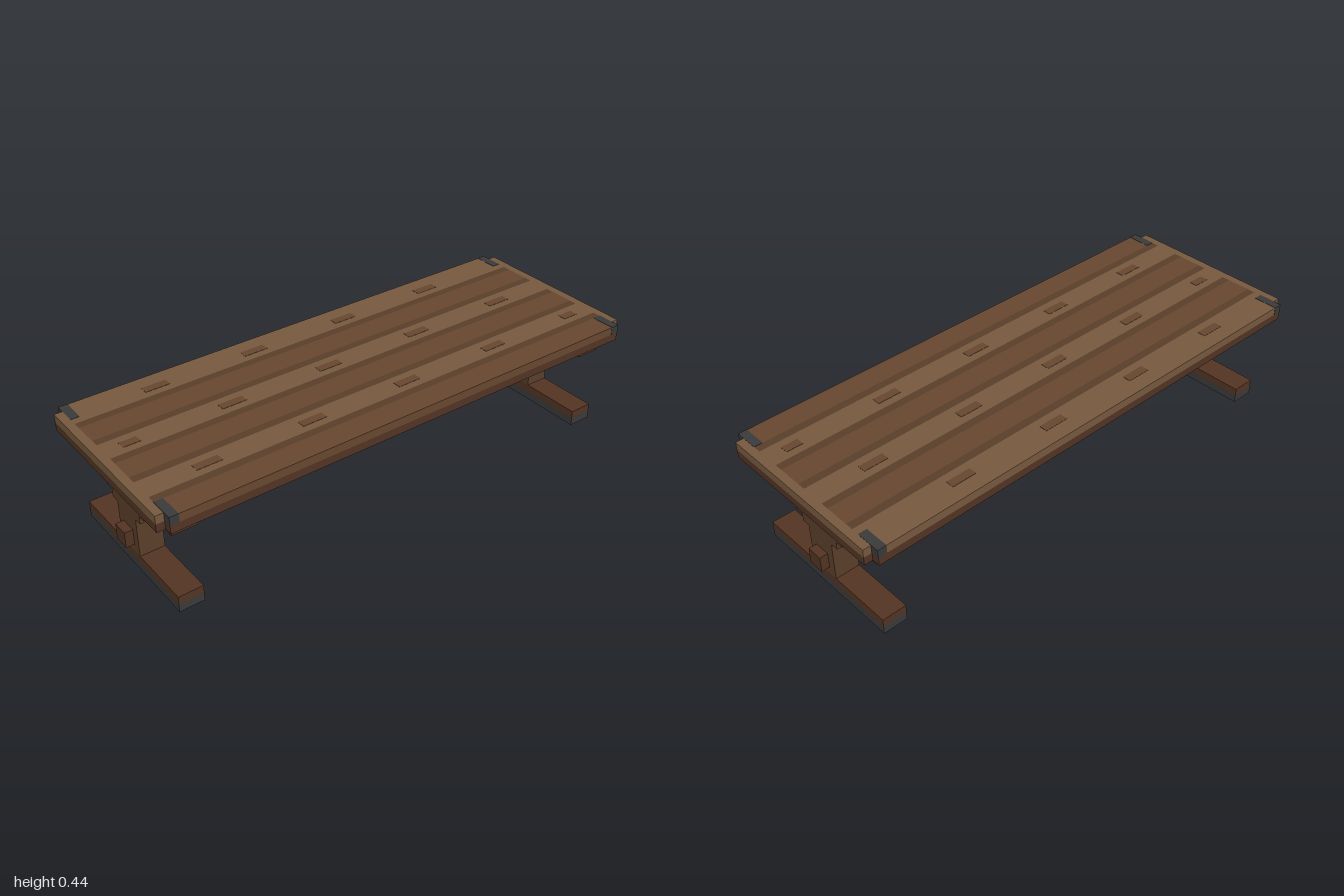
import * as THREE from 'three';

const U = 1 / 32; // block unit: every size below is counted in these

const mat = (color) => new THREE.MeshStandardMaterial({ color });
const M = {
  light: mat(0x785b40),
  mid: mat(0x694830),
  gap: mat(0x593f2b),
  dark: mat(0x543524),
  post: mat(0x5c402a),
  metal: mat(0x3b3b3b),
};

// Box between two corners, in block units; grow lifts inlays just off the wood
function box(parent, name, material, x0, x1, y0, y1, z0, z1, grow = 0) {
  const g = grow * 2;
  const mesh = new THREE.Mesh(
    new THREE.BoxGeometry((x1 - x0) * U + g, (y1 - y0) * U + g, (z1 - z0) * U + g), material);
  mesh.position.set((x0 + x1) / 2 * U, (y0 + y1) / 2 * U, (z0 + z1) / 2 * U);
  mesh.name = name;
  parent.add(mesh);
  return mesh;
}

function createTabletop() {
  const top = new THREE.Group();
  top.name = 'tabletop';

  // under layer with notched corners
  box(top, 'underLayer', M.dark, -31, 31, 12, 13, -12, 12);

  // planks and the dark gaps between them, from back to front
  const strips = [
    [-12, -8, 'light'], [-8, -7, 'gap'], [-7, -4, 'mid'], [-4, -3, 'gap'], [-3, 0, 'light'],
    [0, 1, 'gap'], [1, 4, 'mid'], [4, 5, 'gap'], [5, 8, 'light'], [8, 9, 'gap'], [9, 12, 'mid'],
  ];
  for (const [z0, z1, tone] of strips) {
    box(top, tone === 'gap' ? 'plankGap' : 'plank', M[tone], -31, 31, 13, 14, z0, z1);
  }

  // end boards and metal corner clasps
  for (const s of [-1, 1]) {
    const [x0, x1] = s > 0 ? [31, 32] : [-32, -31];
    box(top, 'endBoard', M.light, x0, x1, 13, 14, -11, 11);
    box(top, 'endBoardUnder', M.dark, x0, x1, 12, 13, -11, 11);
    const [c0, c1] = s > 0 ? [30, 31] : [-31, -30];
    for (const [z0, z1] of [[-12, -9], [9, 12]]) {
      box(top, 'cornerClasp', M.metal, c0, c1, 13, 14, z0, z1, 0.001);
    }
  }

  // rows of wood-grain marks: z, then the start and end of each mark
  const marks = [
    [-10, [[-22, -19], [-9, -6], [4, 7], [17, 20]]],
    [-2, [[-29, -27], [-17, -14], [-4, -1], [9, 12], [22, 25]]],
    [6, [[-25, -22], [-12, -9], [1, 4], [14, 17], [27, 29]]],
  ];
  for (const [z, spans] of marks) {
    for (const [x0, x1] of spans) box(top, 'grainMark', M.mid, x0, x1, 13.5, 14, z, z + 1, 0.001);
  }
  return top;
}

// Stepped trestle standing on a metal-shod foot
function createTrestle(x0, x1) {
  const trestle = new THREE.Group();
  trestle.name = 'trestle';
  const layers = [ // name, material, bottom, top, half depth
    ['footShoe', M.metal, 0, 1, 10],
    ['foot', M.dark, 1, 2, 10],
    ['post', M.post, 2, 7, 2],
    ['bracketStep', M.post, 7, 8, 3],
    ['bracketStep', M.post, 8, 9, 4],
    ['bracketStep', M.post, 9, 10, 5],
    ['crossBeam', M.dark, 10, 12, 10],
  ];
  for (const [name, m, y0, y1, d] of layers) box(trestle, name, m, x0, x1, y0, y1, -d, d);
  return trestle;
}

export function createModel() {
  const table = new THREE.Group();
  table.name = 'trestleTable';
  table.add(createTabletop(), createTrestle(27, 30), createTrestle(-30, -27));
  // long rail passing through both posts
  box(table, 'stretcher', M.dark, -31, 31, 3, 5, -1, 1);
  return table;
}
